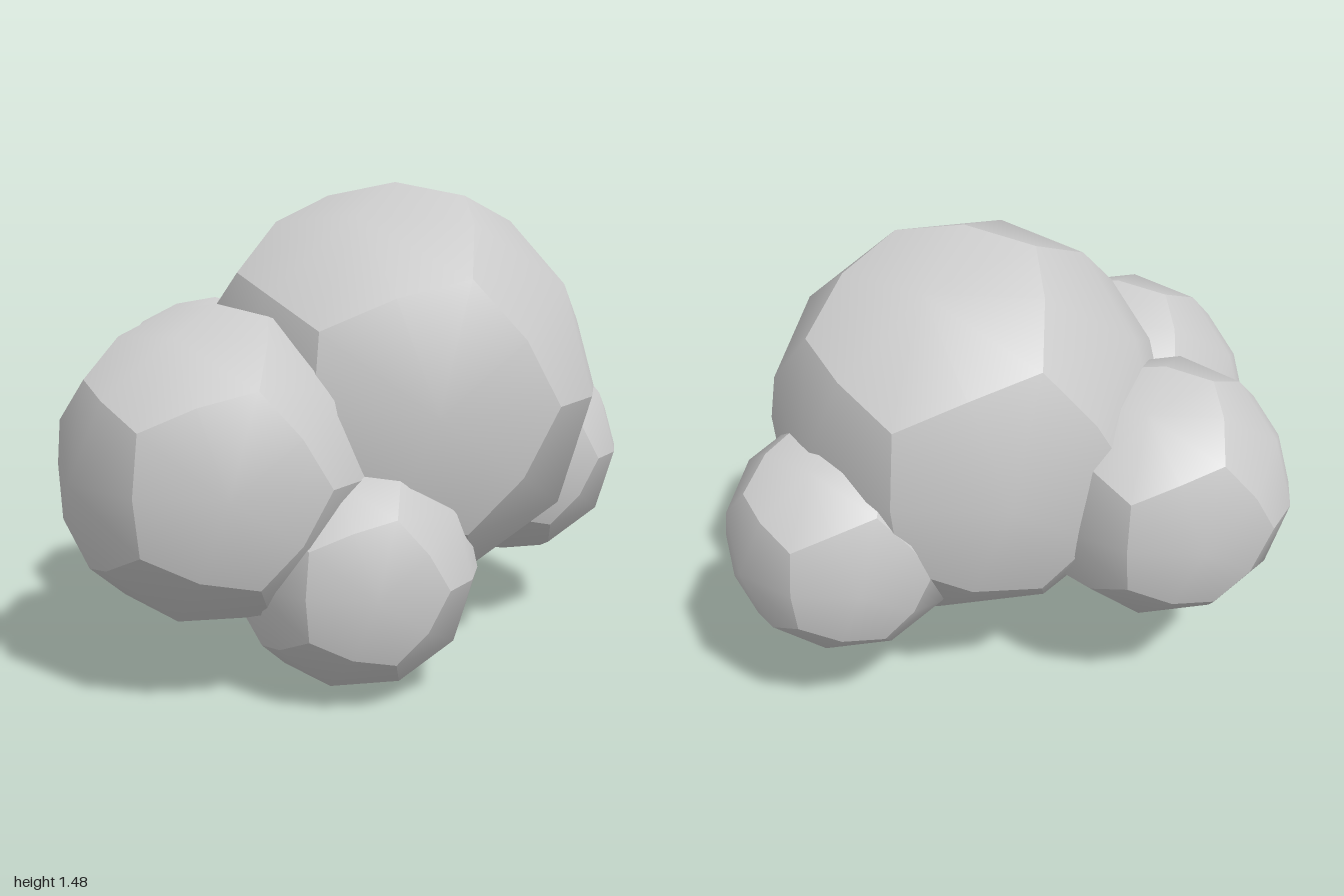
import * as THREE from 'three';

const material = new THREE.MeshStandardMaterial({ color: 0xcccccc });

// Unit direction from height along z and angle around z
function ringPoint(z, degrees) {
  const a = THREE.MathUtils.degToRad(degrees);
  const r = Math.sqrt(1 - z * z);
  return new THREE.Vector3(r * Math.cos(a), r * Math.sin(a), z);
}

// Dodecahedron corners: four rings of five around the z axis
function dodecahedronFaces() {
  const ring = (z, start) => Array.from({ length: 5 }, (_, k) => ringPoint(z, start + 72 * k));
  const a = ring(0.7947, 180), b = ring(0.1876, 180);
  const c = ring(-0.1876, 216), d = ring(-0.7947, 216);
  const faces = [a, [...d].reverse()];
  for (let k = 0; k < 5; k++) {
    const n = (k + 1) % 5;
    faces.push([a[k], b[k], c[k], b[n], a[n]]);
    faces.push([b[n], c[k], d[k], d[n], c[n]]);
  }
  return faces;
}

// Ball of twelve domed pentagons, smooth inside each and creased between them
function pentagonBall() {
  const positions = [], indices = [];
  for (const corners of dodecahedronFaces()) {
    const base = positions.length / 3;
    const centre = new THREE.Vector3();
    corners.forEach((p) => centre.add(p));
    positions.push(...centre.normalize().toArray());
    corners.forEach((p, i) => {
      const middle = p.clone().add(corners[(i + 1) % 5]).normalize();
      positions.push(...p.toArray(), ...middle.toArray());
    });
    for (let i = 0; i < 10; i++) {
      indices.push(base, base + 1 + i, base + 1 + ((i + 1) % 10));
    }
  }
  const geometry = new THREE.BufferGeometry();
  geometry.setAttribute('position', new THREE.Float32BufferAttribute(positions, 3));
  geometry.setIndex(indices);
  geometry.computeVertexNormals();
  return geometry;
}

export function createModel() {
  const group = new THREE.Group();
  group.name = 'ballCluster';
  const geometry = pentagonBall();

  // Name, centre, radius
  const balls = [
    ['mainBall', [0.16, 0.84, -0.13], 0.64],
    ['frontBall', [0.16, 0.657, 0.525], 0.475],
    ['rightBall', [-0.385, 0.685, 0.21], 0.415],
    ['backBall', [0.16, 0.59, -0.625], 0.375],
    ['leftBall', [0.425, 0.36, 0.215], 0.36],
  ];
  for (const [name, centre, radius] of balls) {
    const ball = new THREE.Mesh(geometry, material);
    ball.name = name;
    ball.position.set(...centre);
    ball.scale.setScalar(radius);
    group.add(ball);
  }
  return group;
}
